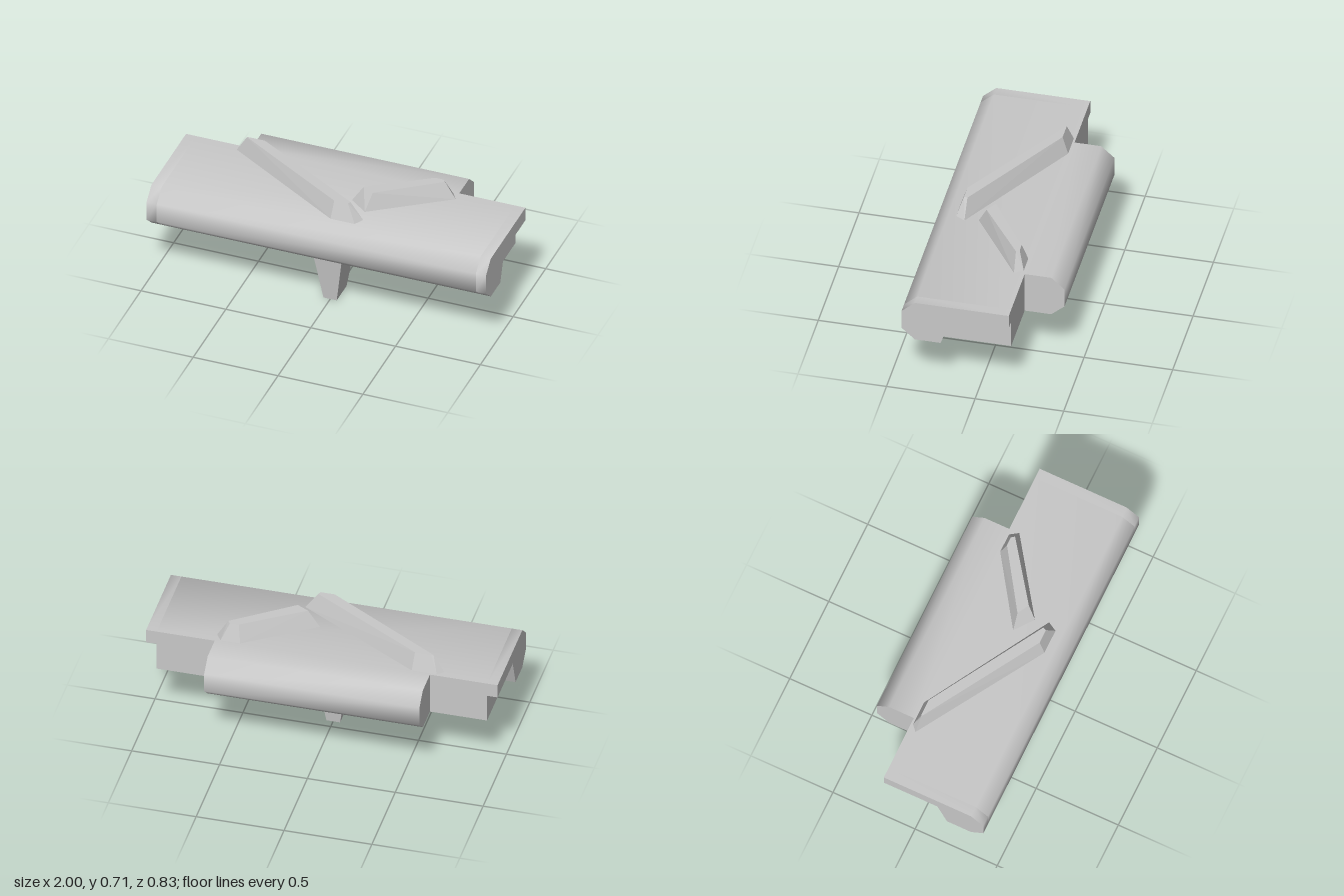
import * as THREE from 'three';
import { toCreasedNormals } from 'three/addons/utils/BufferGeometryUtils.js';
import { ConvexGeometry } from 'three/addons/geometries/ConvexGeometry.js';

const BOTTOM = 0.353, DECK = 0.605, FIN_TOP = 0.707;
const STEP_Z = -0.19; // where the wide front section meets the narrow rear

// Extrude a [z, y] profile along x, with soft bevels and sharp ends
function extrudeX(profile, x0, x1) {
  const shape = new THREE.Shape(profile.map(([z, y]) => new THREE.Vector2(-z, y)));
  const geo = new THREE.ExtrudeGeometry(shape, { depth: x1 - x0, bevelEnabled: false });
  geo.rotateY(Math.PI / 2);
  geo.translate(x0, 0, 0);
  return toCreasedNormals(geo, 0.9);
}

// Tapered solid between two [x, z] outlines at different heights
function taper(lower, y0, upper, y1) {
  return new ConvexGeometry([
    ...lower.map(([x, z]) => new THREE.Vector3(x, y0, z)),
    ...upper.map(([x, z]) => new THREE.Vector3(x, y1, z)),
  ]);
}

const rect = (x0, x1, z0, z1) => [[x0, z0], [x1, z0], [x1, z1], [x0, z1]];

export function createModel() {
  const model = new THREE.Group();
  const grey = new THREE.MeshStandardMaterial({ color: 0xc8c8c8 });
  grey.name = 'light grey';

  const add = (name, geo) => {
    const mesh = new THREE.Mesh(geo, grey);
    mesh.name = name;
    model.add(mesh);
  };

  // Bevelled front edge shared by the body and its ends
  const frontEdge = [[0.34, DECK], [0.415, 0.537], [0.415, 0.42], [0.34, BOTTOM]];

  // Wide front section
  add('frontBody', extrudeX([[STEP_Z, DECK], ...frontEdge, [STEP_Z, BOTTOM]], -0.94, 0.94));

  // Narrower rear section
  add('rearBody', extrudeX([
    [STEP_Z, BOTTOM], [-0.34, BOTTOM], [-0.415, 0.42],
    [-0.415, 0.537], [-0.34, DECK], [STEP_Z, DECK],
  ], -0.615, 0.61));

  // End plates with a notch cut out below the deck
  const notched = [
    [STEP_Z, DECK], ...frontEdge, [0.195, BOTTOM], [0.135, 0.522], [STEP_Z, 0.522],
  ];
  add('leftEnd', extrudeX(notched, 0.94, 1));
  add('rightEnd', extrudeX(notched, -1, -0.94));

  // Slanted ridges on the deck
  add('longRidge', taper(
    [[-0.685, -0.147], [-0.65, -0.178], [-0.508, -0.178], [0.21, 0.242], [0.18, 0.295], [0.038, 0.295]], DECK,
    [[-0.623, -0.142], [-0.61, -0.145], [-0.518, -0.145], [0.135, 0.242], [0.128, 0.262], [0.047, 0.262]], FIN_TOP));
  add('shortRidge', taper(
    [[0.083, 0.083], [0.19, 0.165], [0.612, -0.13], [0.58, -0.178], [0.468, -0.178]], DECK,
    [[0.15, 0.078], [0.218, 0.115], [0.55, -0.127], [0.535, -0.145], [0.485, -0.145]], FIN_TOP));

  // Tapered peg below
  add('peg', taper(rect(-0.04, 0.038, 0.05, 0.2), 0, rect(-0.095, 0.09, 0.004, 0.245), BOTTOM));

  return model;
}
